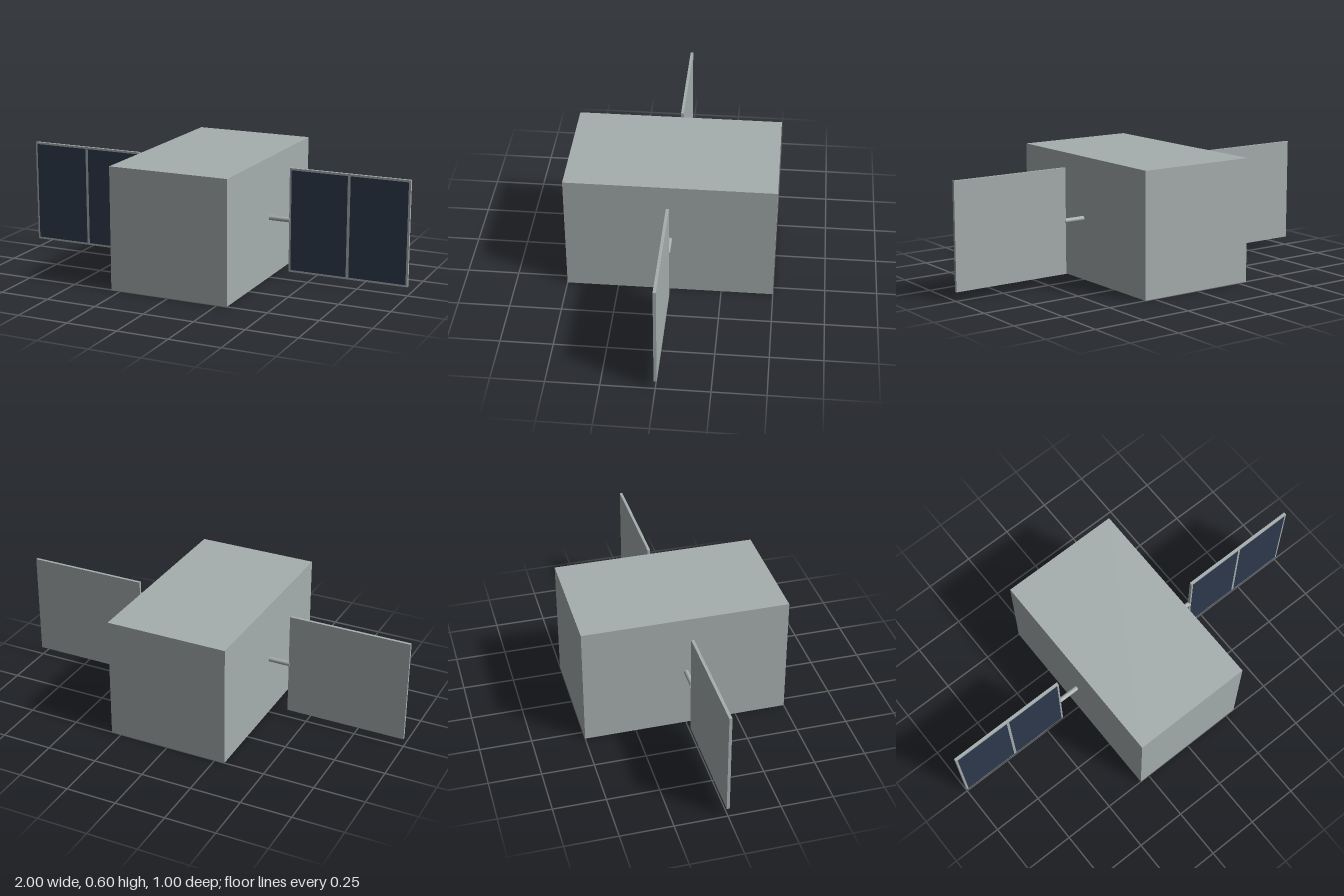
import * as THREE from 'three';

export function createModel() {
  const model = new THREE.Group();
  model.name = 'satellite';

  const metal = new THREE.MeshStandardMaterial({ color: 0xa6aeae });
  metal.name = 'greyMetal';
  const cellBlue = new THREE.MeshStandardMaterial({ color: 0x2d3a4e });
  cellBlue.name = 'darkBlueCell';

  const add = (parent, name, geometry, material, x, y, z) => {
    const mesh = new THREE.Mesh(geometry, material);
    mesh.name = name;
    mesh.position.set(x, y, z);
    parent.add(mesh);
    return mesh;
  };

  // Main body
  const midY = 0.3;
  add(model, 'body', new THREE.BoxGeometry(0.6, 0.6, 1), metal, 0, midY, 0);

  // Solar wings: strut, backing panel and two cells on the front face
  const inner = 0.403, outer = 1, height = 0.513, depth = 0.014;
  const border = 0.01, gap = 0.014;
  const width = outer - inner;
  const cellWidth = (width - 2 * border - gap) / 2;
  const strutGeometry = new THREE.CylinderGeometry(0.012, 0.012, 0.12, 12).rotateZ(Math.PI / 2);
  const panelGeometry = new THREE.BoxGeometry(width, height, depth);
  const cellGeometry = new THREE.BoxGeometry(cellWidth, height - 2 * border, 0.002);

  for (const side of [1, -1]) {
    const wing = new THREE.Group();
    wing.name = side > 0 ? 'leftWing' : 'rightWing';
    wing.position.y = midY;
    const centre = side * (inner + outer) / 2;
    add(wing, 'strut', strutGeometry, metal, side * 0.347, 0, 0);
    add(wing, 'panel', panelGeometry, metal, centre, 0, 0);
    for (const half of [-1, 1]) {
      add(wing, 'solarCell', cellGeometry, cellBlue, centre + half * (cellWidth + gap) / 2, 0, depth / 2);
    }
    model.add(wing);
  }
  return model;
}
